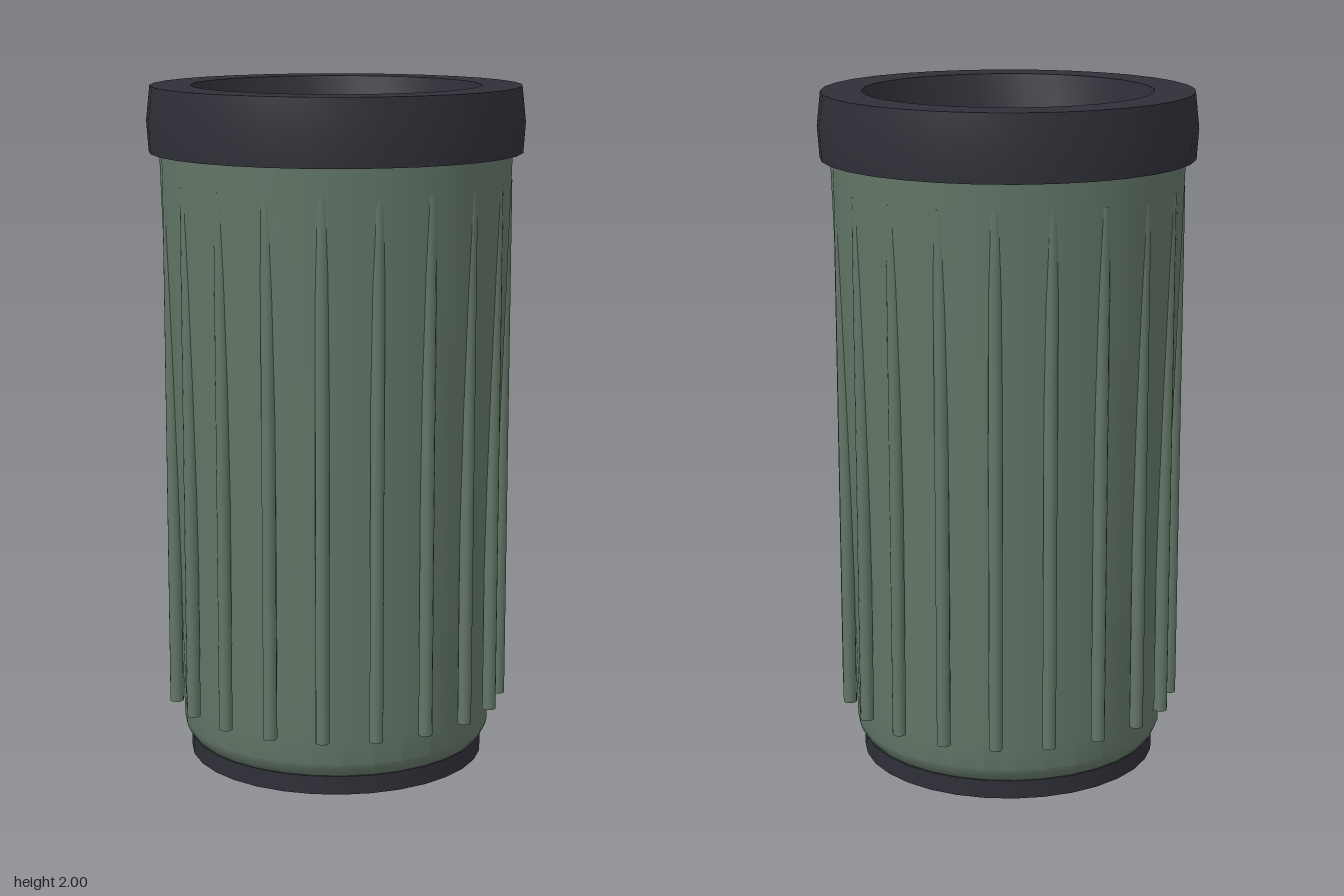
import * as THREE from 'three';
import { toCreasedNormals } from 'three/addons/utils/BufferGeometryUtils.js';

const SEGMENTS = 32;

// Turned part from [radius, height] pairs, with sharp edges kept
function turned(name, profile, material) {
  const points = profile.map(([r, y]) => new THREE.Vector2(r, y));
  const geometry = toCreasedNormals(new THREE.LatheGeometry(points, SEGMENTS), 0.35);
  const mesh = new THREE.Mesh(geometry, material);
  mesh.name = name;
  return mesh;
}

export function createModel() {
  const green = new THREE.MeshStandardMaterial({ color: 0x627566 });
  green.name = 'grey green';
  const dark = new THREE.MeshStandardMaterial({ color: 0x2f2f38 });
  dark.name = 'dark slate';

  const model = new THREE.Group();
  model.name = 'ribbedBin';

  // Dark foot
  model.add(turned('foot', [[0, 0], [0.44, 0], [0.44, 0.055], [0, 0.055]], dark));

  // Tapered body with a rounded bottom edge and a flat lid panel on top
  model.add(turned('body', [
    [0, 0.05], [0.43, 0.05], [0.44, 0.06], [0.452, 0.075], [0.46, 0.095],
    [0.463, 0.18], [0.513, 1.815], [0, 1.815],
  ], green));

  // Open rim, bulging slightly on both its outer and inner walls
  model.add(turned('rim', [
    [0.42, 1.81], [0.543, 1.81], [0.549, 1.9], [0.538, 2],
    [0.42, 2], [0.4, 1.9], [0.42, 1.81],
  ], dark));

  // Upright ribs that sink into the widening body near the top
  const ribs = new THREE.Group();
  ribs.name = 'ribs';
  const bottom = 0.175, top = 1.73, count = 20;
  const ribGeometry = new THREE.CylinderGeometry(0.02, 0.02, top - bottom, 12);
  for (let i = 0; i < count; i++) {
    const angle = (i / count) * Math.PI * 2;
    const rib = new THREE.Mesh(ribGeometry, green);
    rib.name = 'rib';
    rib.position.set(Math.sin(angle) * 0.491, (bottom + top) / 2, Math.cos(angle) * 0.491);
    rib.rotation.y = angle;
    ribs.add(rib);
  }
  model.add(ribs);

  return model;
}
